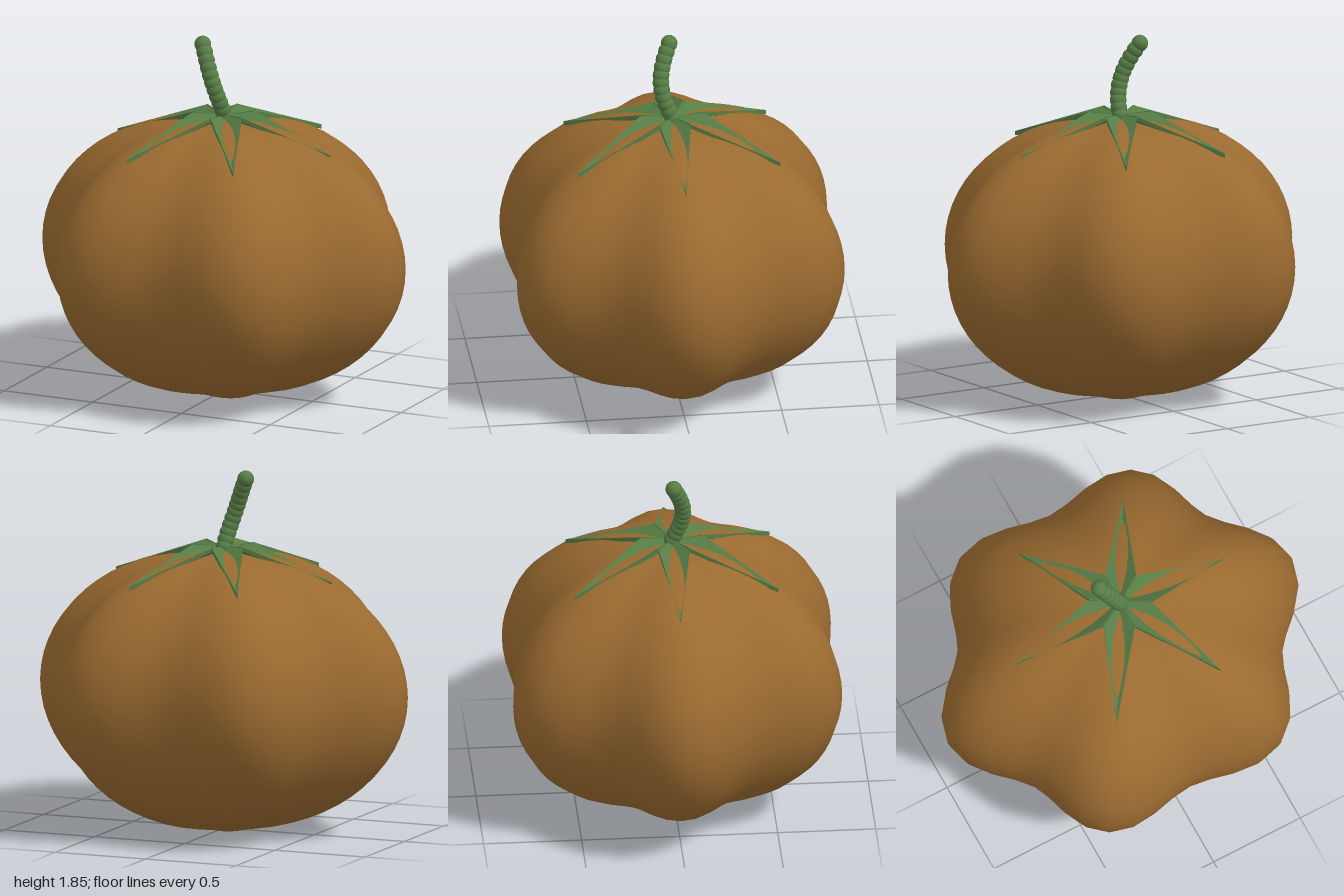
import * as THREE from 'three';
import { mergeVertices } from 'three/addons/utils/BufferGeometryUtils.js';

const skin = new THREE.MeshStandardMaterial({ name: 'brownOrange', color: 0x9a6a30 });
const green = new THREE.MeshStandardMaterial({ name: 'leafGreen', color: 0x567d46 });
const greenFlat = green; // leaves carry their own face normals

// Squashed sphere with six vertical lobes
function bodyGeometry() {
  const sphere = new THREE.SphereGeometry(1, 48, 32);
  const p = sphere.attributes.position;
  for (let i = 0; i < p.count; i++) {
    const x = p.getX(i), z = p.getZ(i);
    const lobe = 0.92 + 0.08 * Math.cos(6 * Math.atan2(z, x));
    p.setXYZ(i, x * lobe, 0.72 + 0.72 * p.getY(i), z * lobe * 0.93);
  }
  sphere.deleteAttribute('uv');
  sphere.deleteAttribute('normal');
  const geometry = mergeVertices(sphere, 1e-4);
  geometry.computeVertexNormals();
  return geometry;
}

// Thin kite folded along its midrib, pointing along +x
function leafGeometry() {
  const outline = [[0, 1.45, 0], [0.13, 1.473, 0.08], [0.6, 1.308, 0], [0.13, 1.473, -0.08]];
  const thickness = 0.022;
  const top = outline.map((c) => new THREE.Vector3(...c));
  const low = top.map((v) => v.clone().setY(v.y - thickness));
  const tris = [
    top[0], top[1], top[2], top[0], top[2], top[3],
    low[0], low[2], low[1], low[0], low[3], low[2],
  ];
  for (let i = 0; i < 4; i++) {
    const j = (i + 1) % 4;
    tris.push(low[i], low[j], top[j], low[i], top[j], top[i]);
  }
  const geometry = new THREE.BufferGeometry().setFromPoints(tris);
  geometry.computeVertexNormals();
  return geometry;
}

export function createModel() {
  const model = new THREE.Group();
  model.name = 'gourd';

  const add = (parent, name, geometry, material) => {
    const mesh = new THREE.Mesh(geometry, material);
    mesh.name = name;
    parent.add(mesh);
    return mesh;
  };

  add(model, 'body', bodyGeometry(), skin);

  // Star of six leaves
  const leaves = new THREE.Group();
  leaves.name = 'leaves';
  model.add(leaves);
  const leaf = leafGeometry();
  for (let i = 0; i < 6; i++) {
    add(leaves, 'leaf', leaf, greenFlat).rotation.y = (i * Math.PI) / 3;
  }

  // Curved stem of overlapping beads
  const stem = new THREE.Group();
  stem.name = 'stem';
  model.add(stem);
  const bead = new THREE.SphereGeometry(0.043, 16, 12);
  const beads = 11;
  for (let i = 0; i < beads; i++) {
    const t = i / (beads - 1);
    add(stem, 'stemBead', bead, green).position.set(
      -0.12 * Math.pow(t, 1.6), 1.45 + 0.36 * t, 0.052 * Math.sin(Math.PI * t));
  }
  return model;
}
